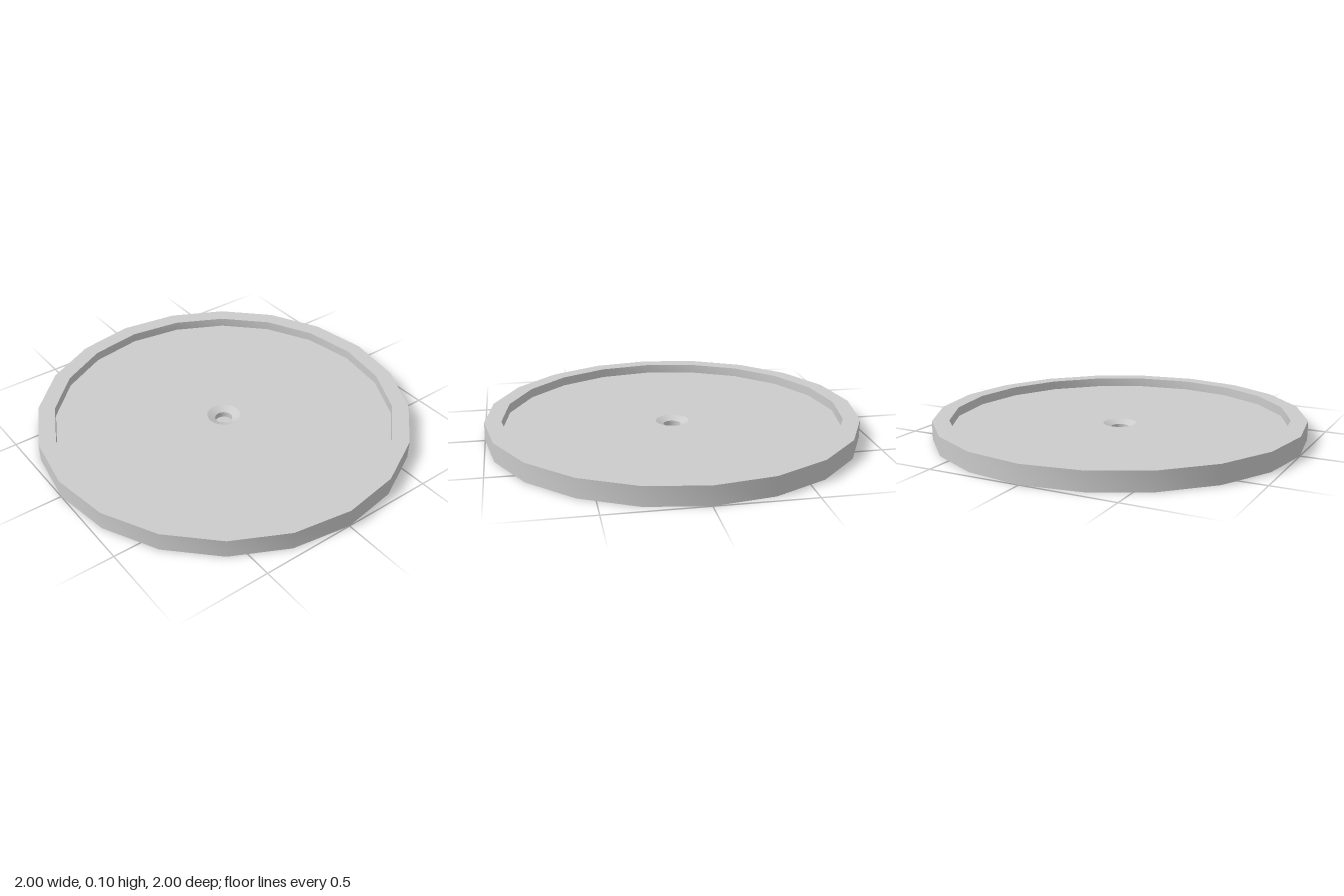
import * as THREE from 'three';
import { toCreasedNormals } from 'three/addons/utils/BufferGeometryUtils.js';

const SIDES = 20;
const STEP = (Math.PI * 2) / SIDES;
const FLOOR = 0.05;
const HOLE = 0.047;

export function createModel() {
  const group = new THREE.Group();
  group.name = 'roundTray';
  const grey = new THREE.MeshStandardMaterial({ color: 0xcccccc });
  const thin = new THREE.MeshStandardMaterial({ color: 0xcccccc, side: THREE.DoubleSide });

  const add = (name, geometry, material, parent = group) => {
    const mesh = new THREE.Mesh(geometry, material);
    mesh.name = name;
    parent.add(mesh);
    return mesh;
  };

  // Dish: underside, outer wall, rim, recessed floor, central dimple and hole
  const profile = [
    [HOLE, 0], [1, 0], [1, 0.1], [0.91, 0.1], [0.91, FLOOR],
    [0.09, FLOOR], [HOLE, 0.03], [HOLE, 0],
  ].map(([r, y]) => new THREE.Vector2(r, y));
  add('dish', toCreasedNormals(new THREE.LatheGeometry(profile, SIDES), 0.35), grey);

  // Bottom of the hole, with one open wedge towards the front
  const cap = new THREE.CircleGeometry(HOLE, SIDES - 1, Math.PI / 2, STEP * (SIDES - 1));
  add('holeBottom', cap.rotateX(Math.PI / 2), thin);

  // Two rings of flat inlays, one on every other side of the dish
  const rings = [['outerInlay', 0.73, 0.82], ['innerInlay', 0.365, 0.457]];
  for (const [name, inner, outer] of rings) {
    const ring = new THREE.Group();
    ring.name = name + 'Ring';
    group.add(ring);
    for (let i = 0; i < SIDES; i += 2) {
      const inlay = new THREE.RingGeometry(inner, outer, 1, 1, (i - 1) * STEP, STEP);
      add(name, inlay.rotateX(-Math.PI / 2), thin, ring).position.y = FLOOR + 0.001;
    }
  }
  return group;
}
